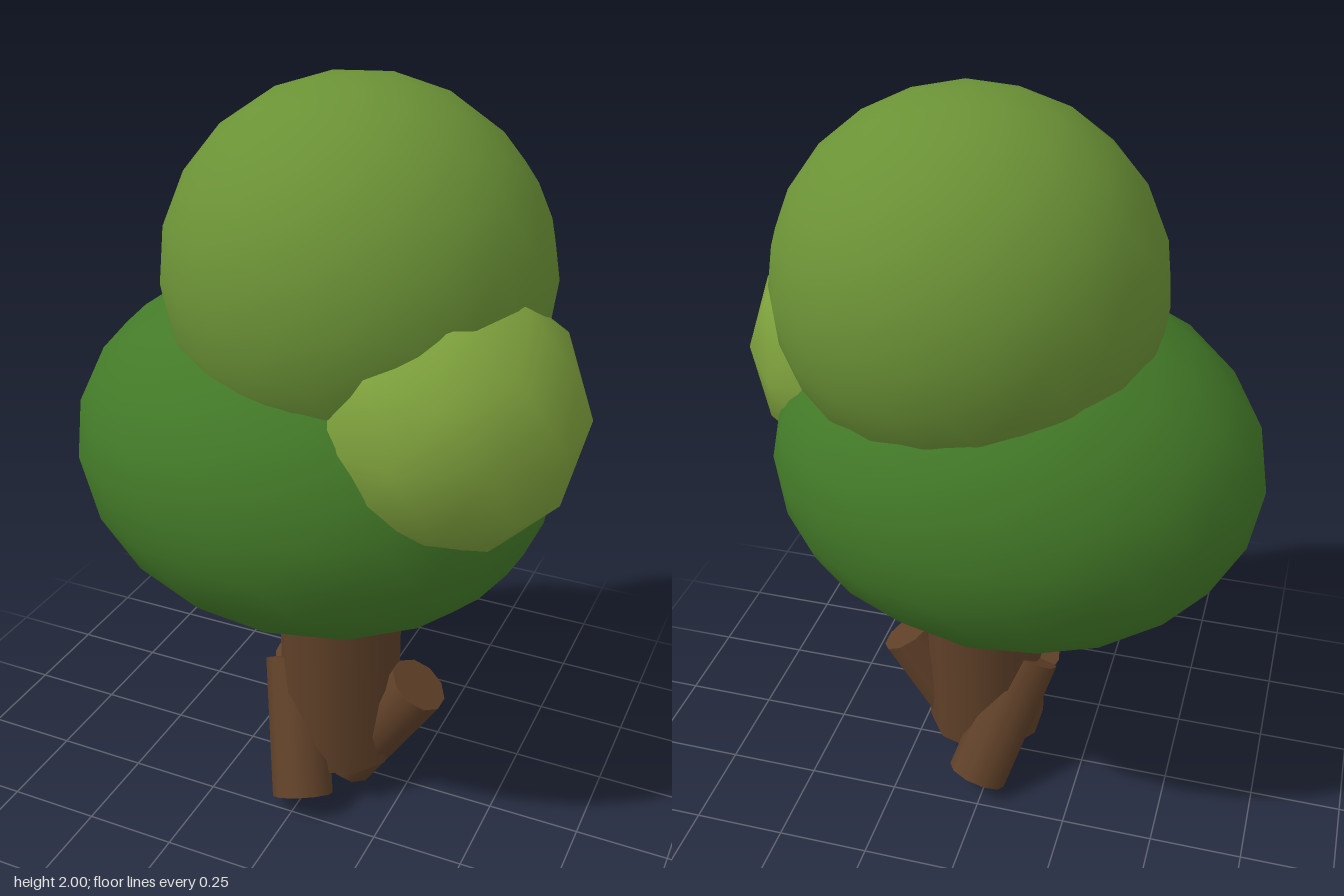
import * as THREE from 'three';

const paint = (color) => new THREE.MeshStandardMaterial({ color });

// Low-poly ball with one corner straight up, stretched to the given radii
function foliage(name, color, detail, [x, y, z], [rx, ry, rz]) {
  const geometry = new THREE.IcosahedronGeometry(1, detail);
  geometry.rotateZ(-Math.atan(2 / (1 + Math.sqrt(5))));
  const mesh = new THREE.Mesh(geometry, paint(color));
  mesh.name = name;
  mesh.position.set(x, y, z);
  mesh.scale.set(rx, ry, rz);
  return mesh;
}

// Ten-sided log standing along y
function log(name, radius, length, material) {
  const mesh = new THREE.Mesh(new THREE.CylinderGeometry(radius, radius, length, 10), material);
  mesh.name = name;
  return mesh;
}

export function createModel() {
  const tree = new THREE.Group();
  tree.name = 'tree';

  // Crown
  tree.add(
    foliage('lowerFoliage', 0x437a28, 3, [-0.045, 1.03, 0], [0.645, 0.49, 0.53]),
    foliage('upperFoliage', 0x6b9236, 3, [0.07, 1.52, -0.02], [0.49, 0.48, 0.47]),
    foliage('sideFoliage', 0x7fa23d, 1, [0.355, 1.25, 0.115], [0.35, 0.35, 0.35])
  );

  // Trunk
  const bark = paint(0x5f4028);
  const trunk = log('trunk', 0.167, 0.7, bark);
  trunk.position.set(0.045, 0.46, 0.018);
  tree.add(trunk);

  // Three slanted roots, a third of a turn apart in direction
  const tilt = 0.58;
  const feet = [[0.07, 0.018], [0.02, 0.218], [0.02, -0.182]];
  feet.forEach(([x, z], i) => {
    const root = new THREE.Group();
    root.name = 'root' + (i + 1);
    root.position.set(x, 0.047, z);
    root.rotation.y = [0, -4, 4][i] * Math.PI / 6;
    root.rotation.y *= -1;
    const wood = log('rootLog', 0.084, 0.385, bark);
    wood.rotation.z = -tilt;
    wood.position.set(Math.sin(tilt) * 0.1925, Math.cos(tilt) * 0.1925, 0);
    root.add(wood);
    tree.add(root);
  });

  return tree;
}
